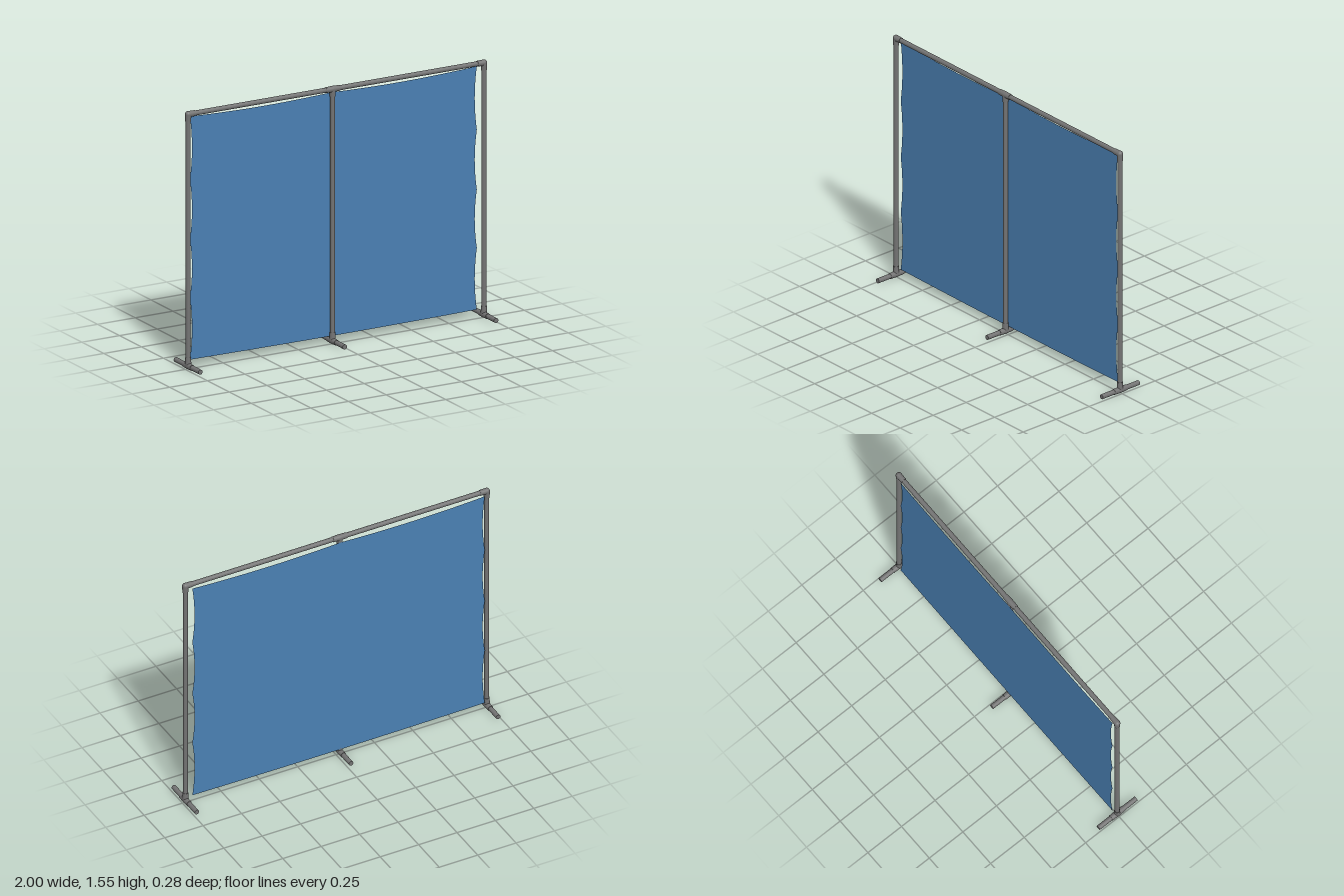
import * as THREE from 'three';

const PIPE_R = 0.0145, FIT_R = 0.0185, COLLAR_R = 0.0168;
const TOP_Y = 1.5315, FOOT_Y = 0.0185;
const SIDE_X = 0.9815, MID_X = -0.023;

export function createModel() {
  const root = new THREE.Group();
  root.name = 'backdropStand';
  const pipeMat = new THREE.MeshStandardMaterial({ color: 0x737373 });
  pipeMat.name = 'grey pipe';
  const clothMat = new THREE.MeshStandardMaterial({ color: 0x4a80b3, side: THREE.DoubleSide });
  clothMat.name = 'blue cloth';

  // Round bar from a to b, optionally tapered
  function bar(name, parent, a, b, ra, rb = ra) {
    const A = new THREE.Vector3(...a), B = new THREE.Vector3(...b);
    const dir = B.clone().sub(A);
    const mesh = new THREE.Mesh(new THREE.CylinderGeometry(rb, ra, dir.length(), 24), pipeMat);
    mesh.position.copy(A).add(B).multiplyScalar(0.5);
    mesh.quaternion.setFromUnitVectors(new THREE.Vector3(0, 1, 0), dir.normalize());
    mesh.name = name;
    parent.add(mesh);
  }

  // Three uprights, each on a floor bar with a tee fitting
  for (const [name, x] of [['left', SIDE_X], ['middle', MID_X], ['right', -SIDE_X]]) {
    const leg = new THREE.Group();
    leg.name = name + 'Upright';
    bar('post', leg, [x, FOOT_Y, 0], [x, TOP_Y, 0], PIPE_R);
    bar('postCollar', leg, [x, FOOT_Y, 0], [x, 0.07, 0], FIT_R, COLLAR_R);
    for (const s of [-1, 1]) {
      bar('foot', leg, [x, FOOT_Y, 0], [x, FOOT_Y, s * 0.14], PIPE_R);
      bar('footCollar', leg, [x, FOOT_Y, 0], [x, FOOT_Y, s * 0.047], FIT_R, COLLAR_R);
    }
    bar('topCollar', leg, [x, TOP_Y, 0], [x, 1.487, 0], FIT_R, COLLAR_R);
    root.add(leg);
  }

  // Top rail with corner elbows and a middle tee
  bar('topRail', root, [-SIDE_X, TOP_Y, 0], [SIDE_X, TOP_Y, 0], PIPE_R);
  for (const s of [-1, 1]) {
    bar('elbowCollar', root, [s * SIDE_X, TOP_Y, 0], [s * (SIDE_X - 0.045), TOP_Y, 0], FIT_R, COLLAR_R);
    bar('teeCollar', root, [MID_X, TOP_Y, 0], [MID_X + s * 0.045, TOP_Y, 0], FIT_R, COLLAR_R);
    const elbow = new THREE.Mesh(new THREE.SphereGeometry(FIT_R, 24, 16), pipeMat);
    elbow.position.set(s * SIDE_X, TOP_Y, 0);
    elbow.name = 'elbow';
    root.add(elbow);
  }

  // Cloth outline: edges sag inward between the tie points
  const xl = -0.96, xr = 0.945, yb = 0.048, yt = 1.511;
  const outline = new THREE.Shape();
  outline.moveTo(xl, yb);
  outline.quadraticCurveTo((xl + xr) / 2, yb - 0.012, xr, yb);
  const ties = [yb, 0.42, 0.77, 1.13, yt];
  for (let i = 1; i < ties.length; i++)
    outline.quadraticCurveTo(xr - 0.028, (ties[i] + ties[i - 1]) / 2, xr, ties[i]);
  outline.quadraticCurveTo((xr + MID_X) / 2, 1.484, MID_X, 1.507);
  outline.quadraticCurveTo((xl + MID_X) / 2, 1.484, xl, yt);
  for (let i = ties.length - 1; i > 0; i--)
    outline.quadraticCurveTo(xl + 0.028, (ties[i] + ties[i - 1]) / 2, xl, ties[i - 1]);
  const cloth = new THREE.Mesh(new THREE.ShapeGeometry(outline, 10), clothMat);
  cloth.position.z = -0.0172;
  cloth.name = 'cloth';
  root.add(cloth);

  return root;
}
